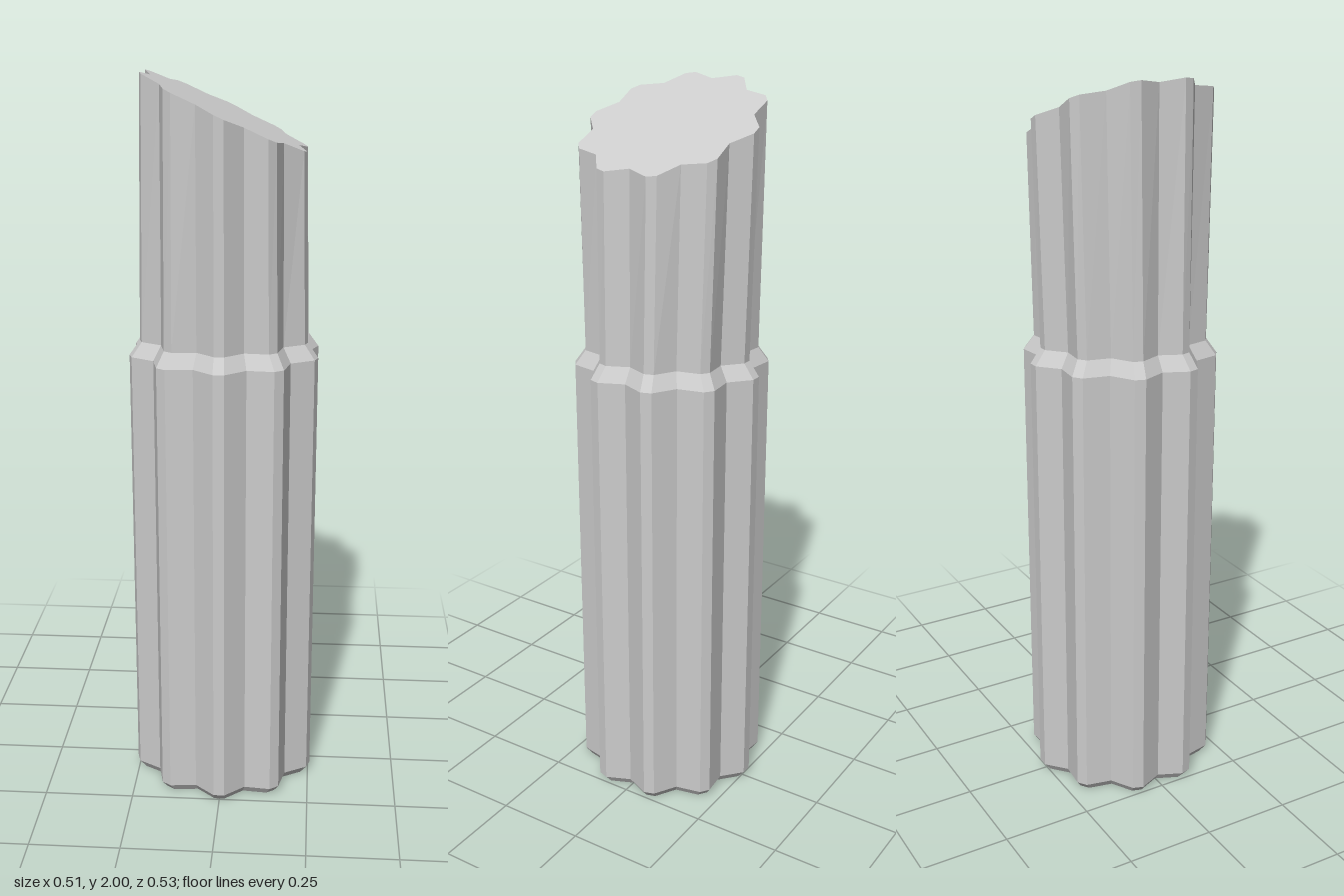
import * as THREE from 'three';

const LOBES = 10;
const TIP = 0.264;      // radius at the lobe tips
const TIP_HALF = 0.057; // half angle of the flat on each tip

// Fluted outline: each lobe has a narrow flat tip followed by a sharp valley
function ring({ sx, sz = sx, y, valley = 0.226 }) {
  const points = [];
  for (let i = 0; i < LOBES; i++) {
    const mid = Math.PI / 2 + (i * 2 * Math.PI) / LOBES;
    const corners = [[mid - TIP_HALF, TIP], [mid + TIP_HALF, TIP], [mid + Math.PI / LOBES, valley]];
    for (const [a, r] of corners) {
      const x = r * Math.cos(a) * sx;
      points.push(new THREE.Vector3(x, y(x), r * Math.sin(a) * sz));
    }
  }
  return points;
}

// Skin stacked rings, optionally closing the bottom and top
function loft(name, sections, capBottom, capTop) {
  const rings = sections.map(ring);
  const n = rings[0].length;
  const pos = [];
  const tri = (...v) => v.forEach((p) => pos.push(p.x, p.y, p.z));
  for (let k = 0; k < rings.length - 1; k++) {
    for (let i = 0; i < n; i++) {
      const j = (i + 1) % n;
      const [lo, hi] = [rings[k], rings[k + 1]];
      tri(lo[i], hi[i], lo[j]);
      tri(lo[j], hi[i], hi[j]);
    }
  }
  const cap = (pts, y, up) => {
    const c = new THREE.Vector3(0, y, 0);
    pts.forEach((p, i) => {
      const q = pts[(i + 1) % n];
      if (up) tri(c, q, p);
      else tri(c, p, q);
    });
  };
  if (capBottom) cap(rings[0], sections[0].y(0), false);
  if (capTop) cap(rings[rings.length - 1], sections[sections.length - 1].y(0), true);
  const geometry = new THREE.BufferGeometry();
  geometry.setAttribute('position', new THREE.Float32BufferAttribute(pos, 3));
  geometry.computeVertexNormals();
  const mesh = new THREE.Mesh(geometry, new THREE.MeshStandardMaterial({ color: 0xcccccc, flatShading: true }));
  mesh.name = name;
  return mesh;
}

export function createModel() {
  const group = new THREE.Group();
  group.name = 'flutedColumn';
  const level = (h) => () => h;

  // Wide lower body with a chamfered foot and sloping shoulder
  group.add(loft('lowerBody', [
    { sx: 0.93, y: level(0) },
    { sx: 1, y: level(0.022) },
    { sx: 1, y: level(1.26) },
    { sx: 0.89, y: level(1.3) },
  ], true, false));

  // Narrower upper stem, narrowing sideways and cut off on a slant
  group.add(loft('upperStem', [
    { sx: 0.89, y: level(1.3) },
    { sx: 0.845, sz: 0.94, valley: 0.23, y: (x) => 1.902 - 0.455 * x },
  ], false, true));

  return group;
}
